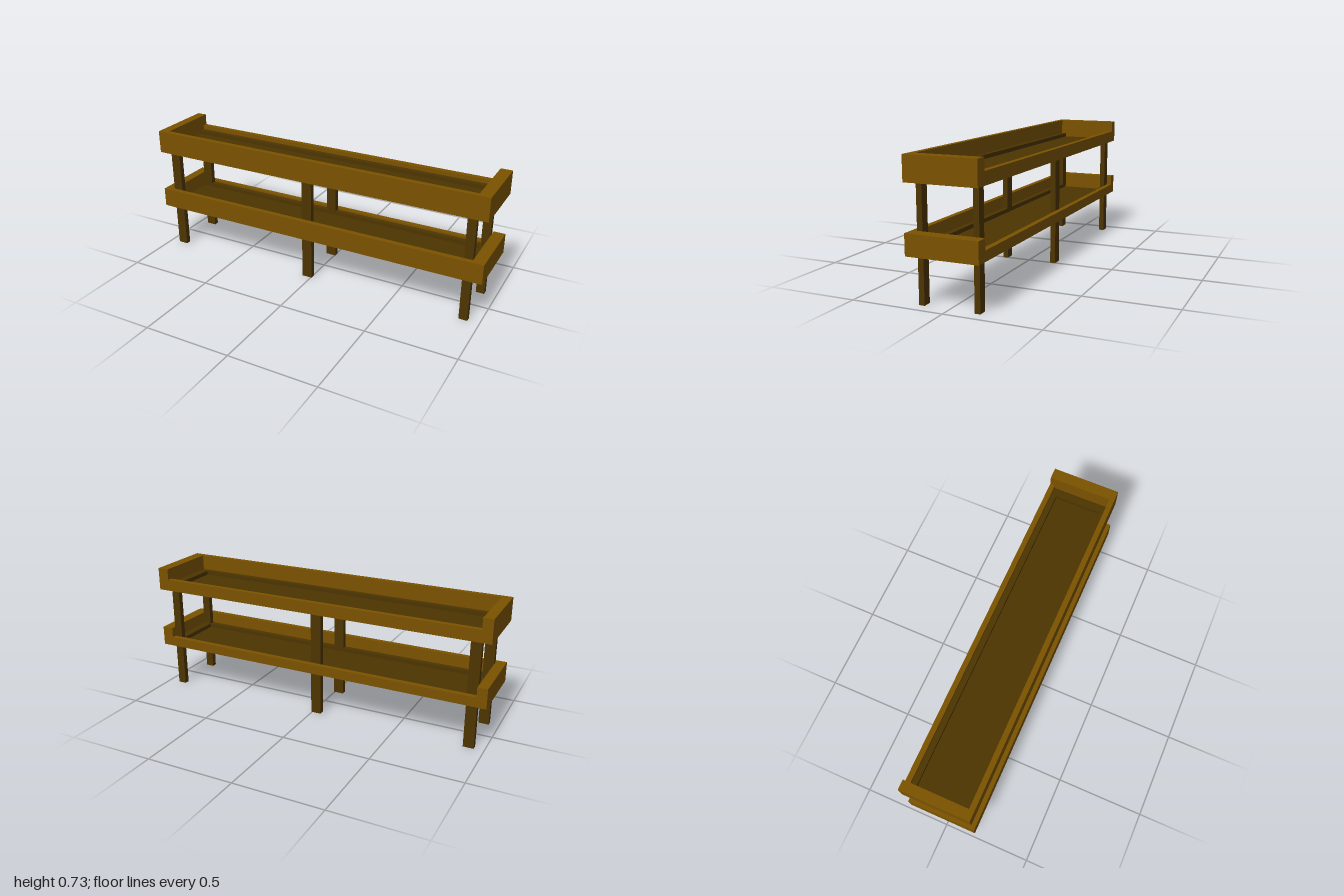
import * as THREE from 'three';

const boardMaterial = new THREE.MeshStandardMaterial({ color: 0x7b5300 });
const frameMaterial = new THREE.MeshStandardMaterial({ color: 0x4d3500 });

// Box given by its limits on each axis
function box(name, material, [x0, x1], [y0, y1], [z0, z1]) {
  const mesh = new THREE.Mesh(new THREE.BoxGeometry(x1 - x0, y1 - y0, z1 - z0), material);
  mesh.position.set((x0 + x1) / 2, (y0 + y1) / 2, (z0 + z1) / 2);
  mesh.name = name;
  return mesh;
}

const OUT = 0.193, IN = 0.164, RAIL = 0.134; // half depths: outer wall, inner wall, inner rail
const LEFT = 0.935, RIGHT = -0.945; // inner faces of the end boards

// Tray with a high front and ends, a low back, and a stepped floor
function tray(name, bottom, top, backTop) {
  const g = new THREE.Group();
  g.name = name;
  const span = [RIGHT, LEFT];
  const base = bottom + 0.01, floor = bottom + 0.02, ledge = bottom + 0.043;
  g.add(
    box('frontBoard', boardMaterial, span, [bottom, top], [IN, OUT]),
    box('backBoard', boardMaterial, span, [bottom, backTop], [-OUT, -IN]),
    box('leftEndBoard', boardMaterial, [LEFT, 1], [bottom, top], [-OUT, OUT]),
    box('rightEndBoard', boardMaterial, [-1, RIGHT], [bottom, top], [-OUT, OUT]),
    box('basePanel', boardMaterial, span, [bottom, base], [-IN, IN]),
    box('floorPanel', frameMaterial, span, [base, floor], [-IN, IN]),
    box('frontRail', frameMaterial, span, [floor, ledge], [RAIL, IN]),
    box('backRail', frameMaterial, span, [floor, ledge], [-IN, -RAIL]),
    box('leftCrossRail', frameMaterial, [LEFT - 0.048, LEFT], [floor, ledge], [-RAIL, RAIL])
  );
  return g;
}

export function createModel() {
  const model = new THREE.Group();
  model.name = 'twoTierPlanter';
  model.add(tray('lowerTray', 0.253, 0.364, 0.307), tray('upperTray', 0.602, 0.732, 0.669));

  // Three pairs of legs running up through the lower tray
  const legs = { rightLeg: [RIGHT, -0.887], middleLeg: [-0.054, 0.005], leftLeg: [LEFT - 0.048, LEFT] };
  for (const [name, x] of Object.entries(legs)) {
    model.add(box(name + 'Front', frameMaterial, x, [0, 0.608], [RAIL, IN]));
    model.add(box(name + 'Back', frameMaterial, x, [0, 0.608], [-IN, -RAIL]));
  }
  return model;
}
